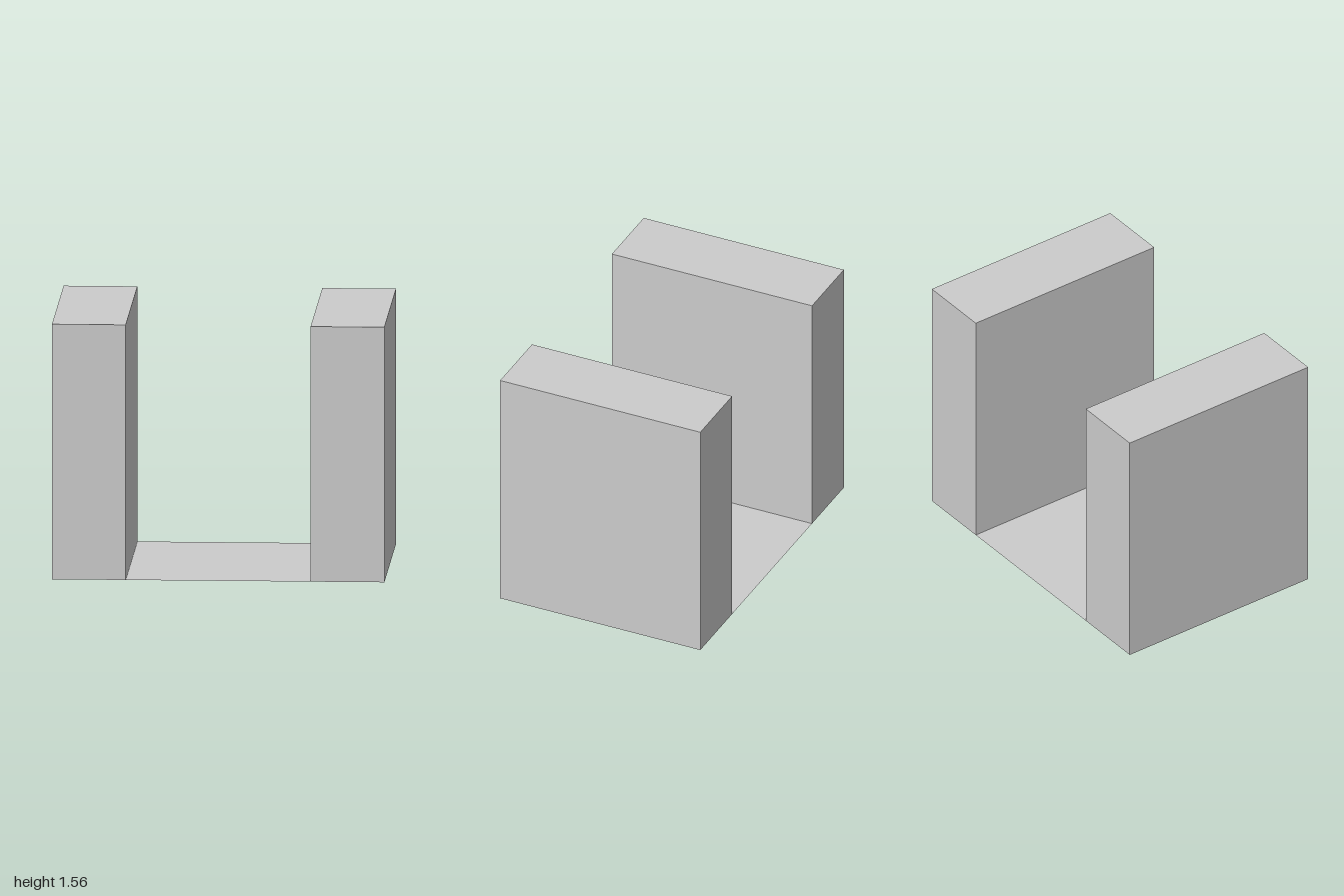
import * as THREE from 'three';

const WIDTH = 2, HEIGHT = 1.556, DEPTH = 1.333, WALL = 0.444;

export function createModel() {
  const group = new THREE.Group();
  const material = new THREE.MeshStandardMaterial({ color: 0xcccccc, flatShading: true });
  const thin = new THREE.MeshStandardMaterial({ color: 0xcccccc, flatShading: true, side: THREE.DoubleSide });

  // Two thick side walls, mirrored across x
  const wallGeometry = new THREE.BoxGeometry(WALL, HEIGHT, DEPTH);
  for (const [name, side] of [['leftWall', 1], ['rightWall', -1]]) {
    const wall = new THREE.Mesh(wallGeometry, material);
    wall.name = name;
    wall.position.set(side * (WIDTH - WALL) / 2, HEIGHT / 2, 0);
    group.add(wall);
  }

  // Paper-thin floor joining the walls
  const floorGeometry = new THREE.PlaneGeometry(WIDTH - 2 * WALL, DEPTH).rotateX(-Math.PI / 2);
  const floor = new THREE.Mesh(floorGeometry, thin);
  floor.name = 'floor';
  group.add(floor);

  return group;
}
